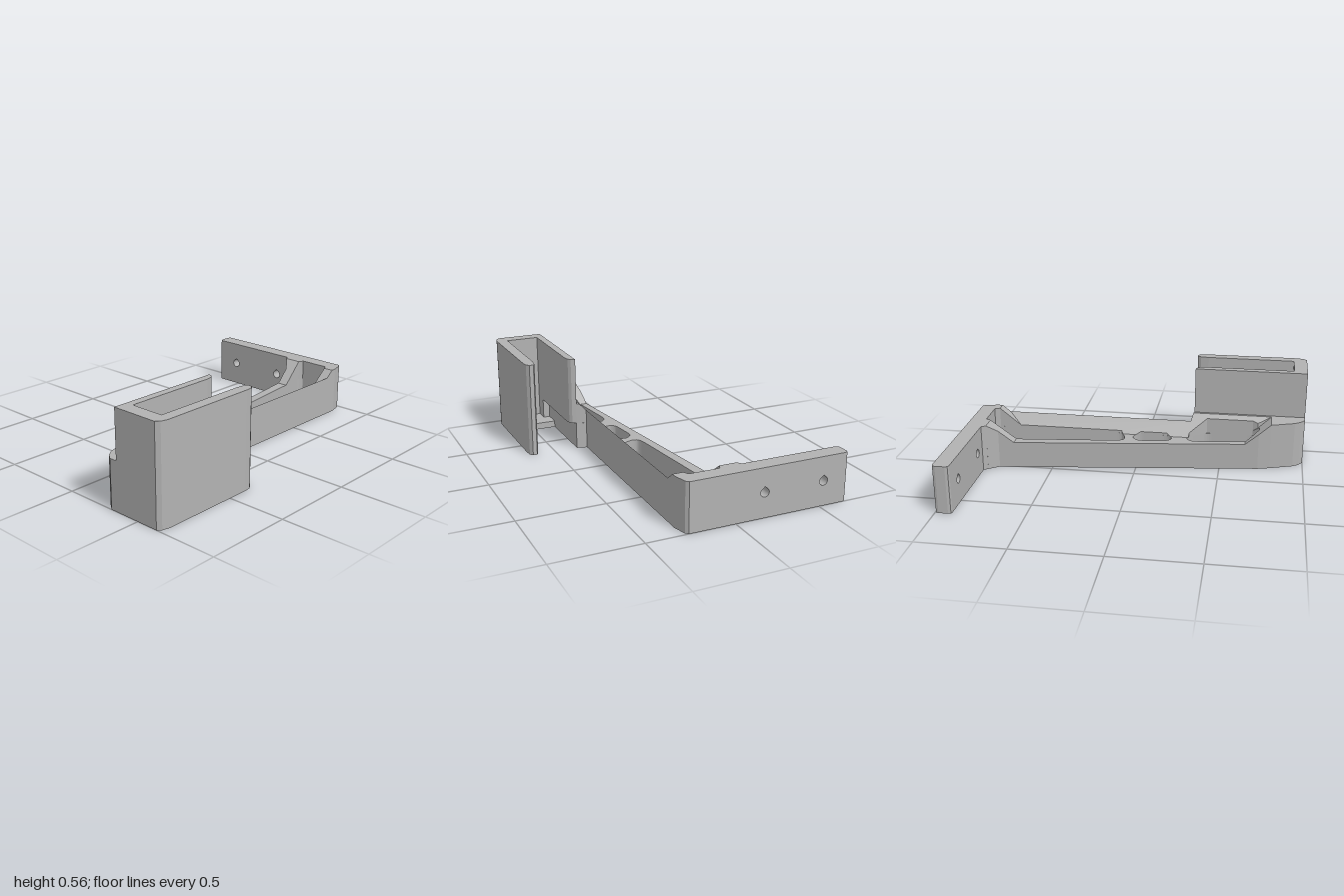
import * as THREE from 'three';

const V = (p) => new THREE.Vector2(p[0], -p[1]); // plan point (x, z) to shape space

// Closed plan outline; bend > 0 rounds every corner by that share of its sides
function trace(path, pts, bend = 0) {
  const n = pts.length;
  const v = pts.map(V);
  if (!bend) {
    path.setFromPoints(v);
    path.closePath();
    return path;
  }
  const out = [];
  for (let i = 0; i < n; i++) {
    const a = v[(i + n - 1) % n], b = v[i], c = v[(i + 1) % n];
    const cut = (q) => b.clone().lerp(q, Math.min(bend, 0.03 / b.distanceTo(q)));
    out.push(...new THREE.QuadraticBezierCurve(cut(a), b, cut(c)).getPoints(4));
  }
  path.setFromPoints(out);
  path.closePath();
  return path;
}

// Upright prism over a plan outline; top is a height or a plane rule (x, z) => y
function prism(name, material, pts, bottom, top, holes = []) {
  const shape = trace(new THREE.Shape(), pts);
  shape.holes = holes.map((h) => trace(new THREE.Path(), h, 0.4));
  const geo = new THREE.ExtrudeGeometry(shape, { depth: 1, bevelEnabled: false });
  geo.rotateX(-Math.PI / 2);
  const p = geo.attributes.position;
  for (let i = 0; i < p.count; i++) {
    const y = typeof top === 'number' ? top : top(p.getX(i), p.getZ(i));
    p.setY(i, p.getY(i) > 0.5 ? y : bottom);
  }
  geo.computeVertexNormals();
  const mesh = new THREE.Mesh(geo, material);
  mesh.name = name;
  return mesh;
}

export function createModel() {
  const group = new THREE.Group();
  group.name = 'wallBracket';
  const grey = new THREE.MeshStandardMaterial({ color: 0xb2b2b2 });
  grey.name = 'plainGrey';
  const add = (...args) => group.add(prism(args[0], grey, ...args.slice(1)));

  const low = 0.16, mid = 0.28, tall = 0.56;
  const rearSlope = (x, z) => mid - 0.8 * (z + 0.88);
  const frontSlope = (x, z) => low + 0.8 * (z - 0.65);
  const sideSlope = (x) => low + (x - 0.225) * 1.067;

  // Wall plate with two teardrop screw holes
  const plate = new THREE.Shape();
  plate.setFromPoints([[-0.65, 0], [-0.08, 0], [-0.08, mid], [-0.65, mid]]
    .map(([x, y]) => new THREE.Vector2(x, y)));
  for (const x of [-0.52, -0.165]) {
    const hole = new THREE.Path();
    hole.absarc(x, 0.142, 0.025, Math.PI * 0.75, Math.PI * 2.25, false);
    hole.lineTo(x, 0.175);
    hole.closePath();
    plate.holes.push(hole);
  }
  const plateGeo = new THREE.ExtrudeGeometry(plate, { depth: 0.095, bevelEnabled: false, curveSegments: 20 });
  plateGeo.translate(0, 0, -1);
  const plateMesh = new THREE.Mesh(plateGeo, grey);
  plateMesh.name = 'wallPlate';
  group.add(plateMesh);
  add('plateEnd', [[-0.65, -1], [-0.663, -0.995], [-0.668, -0.98], [-0.668, -0.925],
    [-0.663, -0.91], [-0.65, -0.905]], 0, mid);
  add('plateCorner', [[-0.08, -1], [0.265, -1], [0.28, -0.985], [0.3, -0.91], [0.3, -0.88],
    [0.24, -0.88], [0.225, -0.91], [0.05, -0.91], [0.036, -0.88], [-0.063, -0.88], [-0.08, -0.905]], 0, mid);

  // Arm with three lightening holes
  const holes = [
    [[0.036, -0.88], [0.05, -0.915], [0.225, -0.915], [0.24, -0.88], [0.24, -0.11],
      [0.225, -0.1], [0.17, -0.078], [0.135, -0.085], [0.12, -0.125]],
    [[0.138, 0.005], [0.18, -0.035], [0.225, -0.025], [0.24, 0.01], [0.24, 0.17],
      [0.225, 0.198], [0.19, 0.205], [0.16, 0.18]],
    [[0.172, 0.335], [0.2, 0.295], [0.245, 0.3], [0.315, 0.41], [0.315, 0.69],
      [0.295, 0.73], [0.25, 0.73], [0.21, 0.64]],
  ];
  add('arm', [[-0.08, -0.95], [-0.08, -0.905], [-0.02, -0.82], [0.18, 0.73], [0.2, 0.8],
    [0.25, 0.94], [0.275, 0.975], [0.31, 1], [0.36, 1], [0.36, 0.325], [0.3, 0.31],
    [0.3, -0.91], [0.287, -0.95]], 0, low, holes);

  // Sloping rib along the outer side of the arm
  add('armRib', [[0.225, 0.305], [0.225, 0.195], [0.24, 0.17], [0.24, 0.01], [0.225, -0.02],
    [0.225, -0.1], [0.24, -0.11], [0.24, -0.88], [0.3, -0.88], [0.3, 0.31], [0.3375, 0.322],
    [0.3375, 0.8], [0.305, 0.72], [0.315, 0.69], [0.315, 0.41], [0.245, 0.305]], low, sideSlope);

  // Ramps up to the wall plate and to the front block
  add('rearRampInner', [[-0.063, -0.88], [0.036, -0.88], [0.054, -0.73], [-0.008, -0.73],
    [-0.02, -0.82]], low, rearSlope);
  add('rearRampOuter', [[0.24, -0.88], [0.3, -0.88], [0.3, -0.73], [0.24, -0.73]], low, rearSlope);
  add('frontRamp', [[0.17, 0.65], [0.214, 0.65], [0.237, 0.705], [0.258, 0.73], [0.29, 0.73],
    [0.315, 0.69], [0.315, 0.65], [0.3375, 0.65], [0.3375, 0.8], [0.2, 0.8], [0.18, 0.73]], low, frontSlope);

  // Front block and the ledge running beside the holder
  add('frontBlock', [[0.2, 0.8], [0.3375, 0.8], [0.3375, 0.322], [0.36, 0.33], [0.36, 1],
    [0.31, 1], [0.275, 0.975], [0.25, 0.94]], low, mid);

  // Holder: U-shaped walls, undercut on the arm side, with a small floor
  const outer = [[0.63, 1], [0.65, 0.98], [0.66, 0.94], [0.66, 0.38], [0.655, 0.34], [0.64, 0.32],
    [0.615, 0.32], [0.603, 0.34], [0.597, 0.39], [0.595, 0.92]];
  add('holderLower', [[0.36, 1], ...outer, [0.4, 0.92], [0.4, 0.84], [0.36, 0.84]], 0, low);
  add('holderUpper', [[0.355, 1], ...outer, [0.4, 0.92], [0.4, 0.39], [0.393, 0.355],
    [0.38, 0.338], [0.355, 0.328]], low, tall);
  add('holderFloor', [[0.36, 0.74], [0.597, 0.74], [0.597, 0.925], [0.36, 0.925]], 0, 0.04);

  return group;
}
